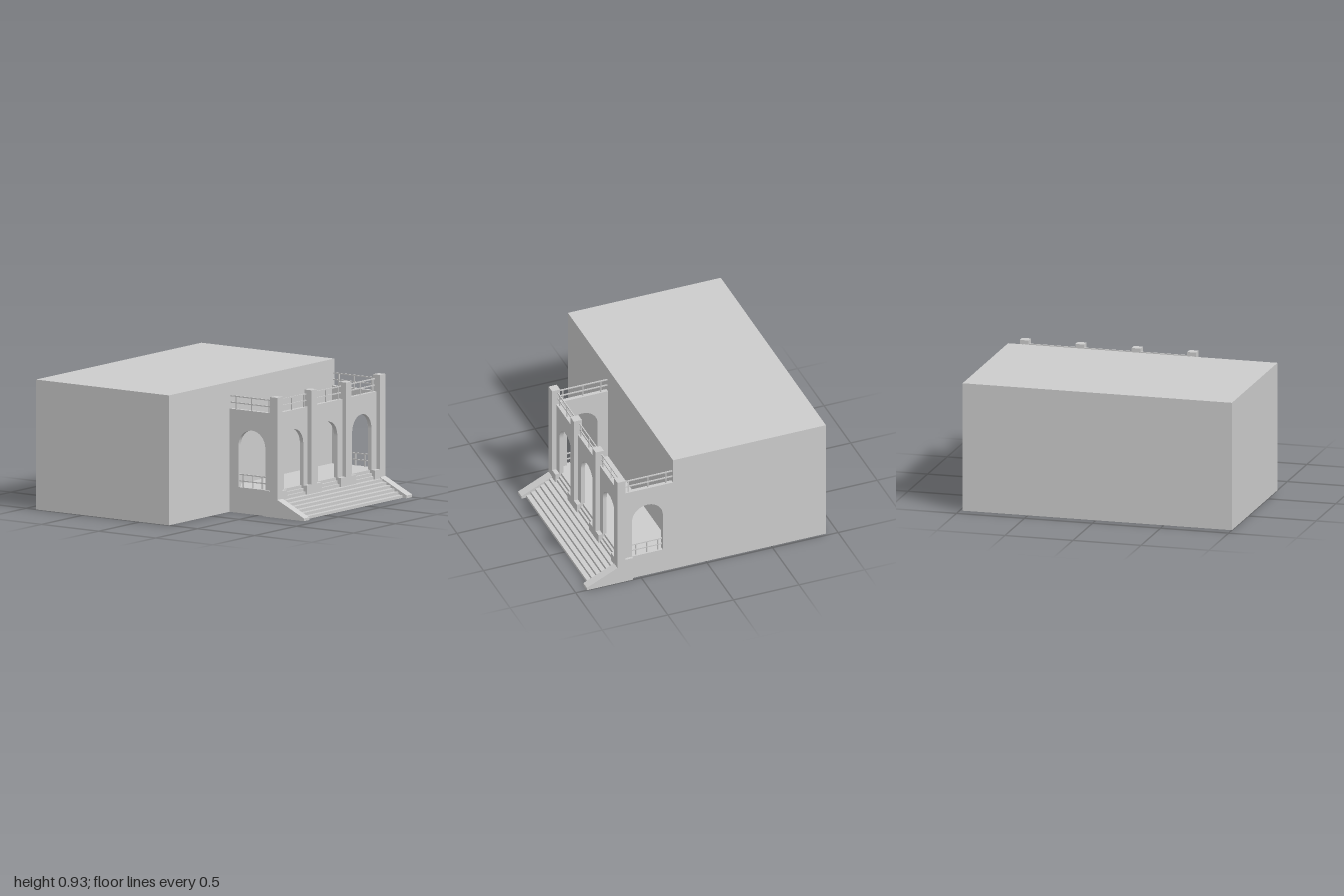
import * as THREE from 'three';

const material = new THREE.MeshStandardMaterial({ color: 0xcccccc, flatShading: true });
const MID = 0.3525; // centre line of the porch
const FLOOR = 0.185, WALL_TOP = 0.74, BAR = 0.008;

export function createModel() {
  const model = new THREE.Group();

  const add = (parent, name, geometry) => {
    const mesh = new THREE.Mesh(geometry, material);
    mesh.name = name;
    parent.add(mesh);
    return mesh;
  };
  // Box given by its extents on each axis
  const box = (parent, name, [x0, x1], [y0, y1], [z0, z1]) => {
    const mesh = add(parent, name, new THREE.BoxGeometry(x1 - x0, y1 - y0, z1 - z0));
    mesh.position.set((x0 + x1) / 2, (y0 + y1) / 2, (z0 + z1) / 2);
    return mesh;
  };
  const mirror = ([a, b]) => [2 * MID - b, 2 * MID - a];

  // Wall standing on the floor with arched openings [from, to]
  const archWall = (u0, u1, arches, depth) => {
    const s = new THREE.Shape();
    s.moveTo(u0, FLOOR);
    for (const [a, b] of arches) {
      const r = (b - a) / 2;
      s.lineTo(a, FLOOR);
      s.lineTo(a, 0.6 - r);
      s.absarc((a + b) / 2, 0.6 - r, r, Math.PI, 0, true);
      s.lineTo(b, FLOOR);
    }
    s.lineTo(u1, FLOOR);
    s.lineTo(u1, WALL_TOP);
    s.lineTo(u0, WALL_TOP);
    return new THREE.ExtrudeGeometry(s, { depth, bevelEnabled: false, curveSegments: 20 });
  };

  // Two-bar railing along x or z, with posts
  const railing = (name, axis, [from, to], fixed, base, posts) => {
    const g = new THREE.Group();
    g.name = name;
    const across = [fixed - BAR / 2, fixed + BAR / 2];
    const place = (part, along, y) =>
      axis === 'x' ? box(g, part, along, y, across) : box(g, part, across, y, along);
    for (const h of [0.044, 0.09]) place('railBar', [from, to], [base + h - BAR / 2, base + h + BAR / 2]);
    for (const p of posts) place('railPost', [p - BAR / 2, p + BAR / 2], [base, base + 0.09]);
    model.add(g);
  };

  // Main building and porch floor
  box(model, 'mainBlock', [-1, 0.98], [0, 0.93], [-0.915, 0.25]);
  box(model, 'porchFloor', [-0.275, 0.98], [0, FLOOR], [0.25, 0.62]);

  // Front arcade
  const arches = [[-0.17, 0.06], [0.2375, 0.4675], [0.645, 0.875]];
  add(model, 'frontWall', archWall(-0.26, 0.965, arches, 0.03)).position.z = 0.62;

  // Pillars, their pedestals and the railings between them
  const pillars = [[-0.295, -0.23], [0.113, 0.178], [0.527, 0.592], [0.935, 1]];
  const pedestals = [[-0.295, -0.17], [0.06, 0.2375], [0.4675, 0.645], [0.875, 1]];
  pillars.forEach((p, i) => {
    box(model, 'pillar', p, [FLOOR, 0.86], [0.62, 0.682]);
    box(model, 'pedestal', pedestals[i], [0, FLOOR], [0.62, 0.682]);
    if (i < 3) {
      const a = p[1], b = pillars[i + 1][0];
      railing('frontRailing', 'x', [a, b], 0.635, WALL_TOP, [a + 0.026, (a + b) / 2, b - 0.026]);
    }
  });

  // Side walls with one arch each, railings above and inside the arch
  for (const flip of [false, true]) {
    const side = (range) => (flip ? mirror(range) : range);
    const wall = archWall(0.25, 0.62, [[0.328, 0.563]], 0.03);
    wall.rotateY(-Math.PI / 2);
    add(model, 'sideWall', wall).position.x = side([0.95, 0.98])[1];
    const x = side([0.965, 0.965])[0];
    railing('sideRailing', 'z', [0.25, 0.62], x, WALL_TOP, [0.3, 0.435, 0.587]);
    railing('archRailing', 'z', [0.328, 0.563], x, FLOOR, [0.36, 0.445, 0.527]);
    box(model, 'pedestalReturn', side([0.98, 1]), [0, FLOOR], [0.563, 0.62]);

    // Sloping cheek wall beside the stairs
    const cheek = new THREE.Shape([[0.682, 0], [0.915, 0], [0.915, 0.02], [0.682, 0.13]]
      .map(([z, y]) => new THREE.Vector2(z, y)));
    const cheekGeometry = new THREE.ExtrudeGeometry(cheek, { depth: 0.065, bevelEnabled: false });
    cheekGeometry.rotateY(-Math.PI / 2);
    add(model, 'cheekWall', cheekGeometry).position.x = side([0.935, 1])[1];
  }

  // Wide stairs in front
  for (let i = 0; i < 6; i++) {
    const front = 0.88 - i * 0.035;
    box(model, 'wideStep', [-0.23, 0.935], [0, 0.02 * (i + 1)], [front - 0.035, front]);
  }
  // Short steps up to each arch, between the pedestals
  for (const a of arches) {
    for (let i = 0; i < 3; i++) {
      const front = 0.67 - i * 0.0167;
      box(model, 'archStep', a, [0, 0.12 + 0.0217 * (i + 1)], [front - 0.0167, front]);
    }
  }

  return model;
}
